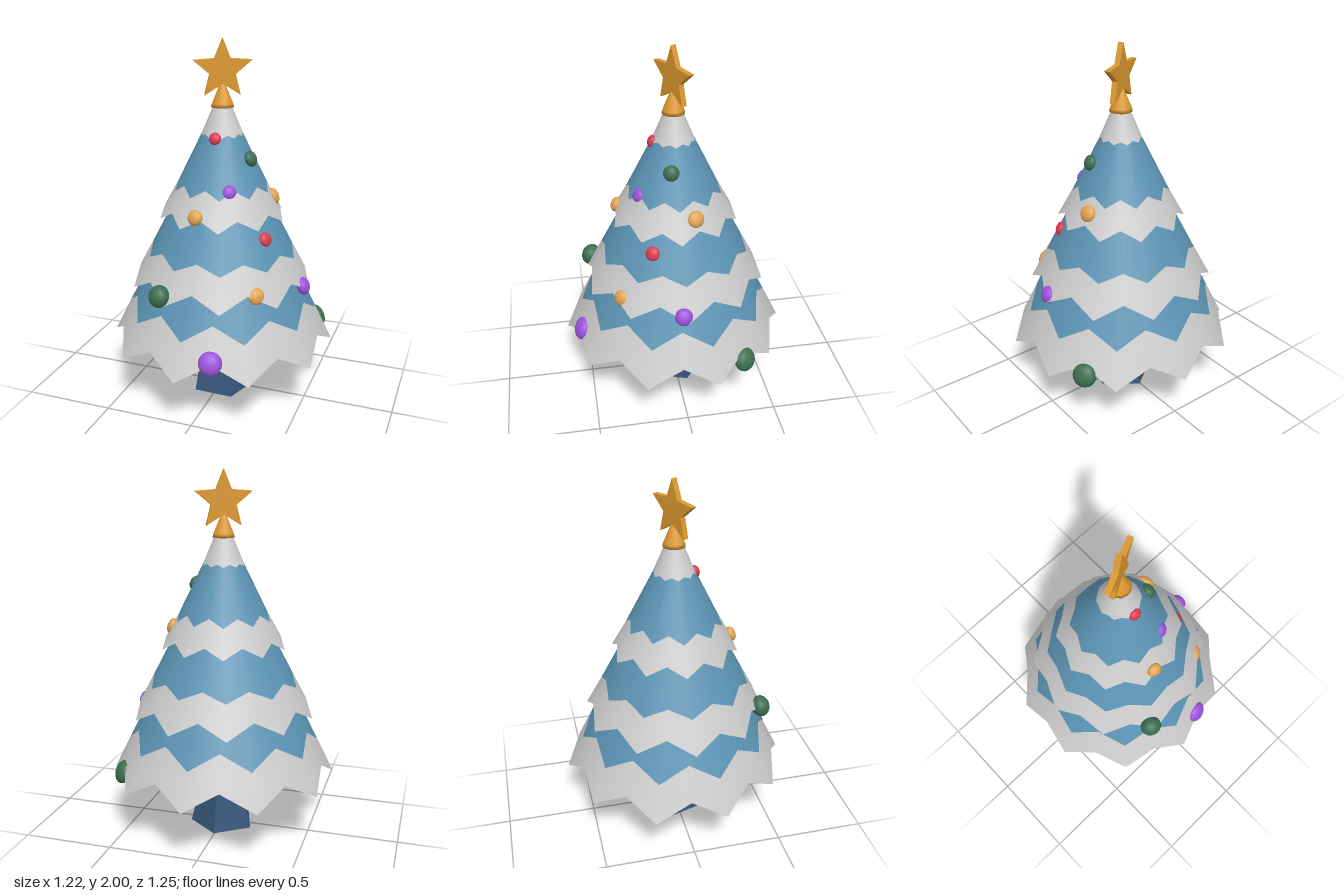
import * as THREE from 'three';

const mat = (name, color, extra = {}) => {
  const m = new THREE.MeshStandardMaterial({ color, ...extra });
  m.name = name;
  return m;
};

// Cone skirt with a zigzag hem; each row is [tip y, tip radius, valley y, valley radius], bottom to top
function skirtGeometry(rows, phaseDeg, bandMaterials) {
  const cols = 20;
  const pos = [], index = [];
  const geo = new THREE.BufferGeometry();
  for (const [yTip, rTip, yValley, rValley] of rows) {
    for (let i = 0; i < cols; i++) {
      const a = THREE.MathUtils.degToRad(phaseDeg) + (i / cols) * Math.PI * 2;
      const tip = i % 2 === 0;
      const r = tip ? rTip : rValley;
      pos.push(r * Math.sin(a), tip ? yTip : yValley, r * Math.cos(a));
    }
  }
  for (let j = 0; j < rows.length - 1; j++) {
    geo.addGroup(index.length, cols * 6, bandMaterials[j]);
    for (let i = 0; i < cols; i++) {
      const a = j * cols + i, b = j * cols + (i + 1) % cols;
      index.push(a, b, b + cols, a, b + cols, a + cols);
    }
  }
  geo.setAttribute('position', new THREE.Float32BufferAttribute(pos, 3));
  geo.setIndex(index);
  geo.computeVertexNormals();
  return geo;
}

export function createModel() {
  const tree = new THREE.Group();
  tree.name = 'decoratedTree';

  const white = mat('snowWhite', 0xcbcbcb, { side: THREE.DoubleSide });
  const blue = mat('needleBlue', 0x5b93b3, { side: THREE.DoubleSide });
  const navy = mat('trunkNavy', 0x365578, { flatShading: true });
  const gold = mat('starGold', 0xdd982f);
  const red = mat('ornamentRed', 0xd93c50);
  const green = mat('ornamentGreen', 0x3c6e50);
  const purple = mat('ornamentPurple', 0x9c52dc);
  const amber = mat('ornamentAmber', 0xe2a452);

  const add = (name, geometry, material, parent = tree) => {
    const mesh = new THREE.Mesh(geometry, material);
    mesh.name = name;
    parent.add(mesh);
    return mesh;
  };

  // Five-sided flared trunk
  const trunk = [[0, 0], [0.187, 0], [0.09, 0.37], [0.07, 0.85], [0, 0.85]]
    .map(([r, y]) => new THREE.Vector2(r, y));
  add('trunk', new THREE.LatheGeometry(trunk, 5, Math.PI - 0.02), navy);

  // Three skirts: white hem band below, blue above; the top one has a white cap
  add('lowerSkirt', skirtGeometry([
    [0.32, 0.627, 0.42, 0.572],
    [0.51, 0.533, 0.6, 0.485],
    [0.92, 0.33, 0.92, 0.33],
  ], -4, [0, 1]), [white, blue]);
  add('middleSkirt', skirtGeometry([
    [0.67, 0.507, 0.748, 0.463],
    [0.84, 0.414, 0.892, 0.386],
    [1.3, 0.175, 1.3, 0.175],
  ], 18, [0, 1]), [white, blue]);
  add('upperSkirt', skirtGeometry([
    [1.05, 0.348, 1.105, 0.315],
    [1.2, 0.263, 1.245, 0.238],
    [1.495, 0.115, 1.51, 0.108],
    [1.66, 0.045, 1.66, 0.045],
  ], 16, [0, 1, 0]), [white, blue]);

  // Star topper on a small cone collar
  const topper = new THREE.Group();
  topper.name = 'topper';
  tree.add(topper);
  const collar = [[0, 1.645], [0.062, 1.645], [0.056, 1.665], [0.012, 1.77], [0, 1.77]]
    .map(([r, y]) => new THREE.Vector2(r, y));
  add('collar', new THREE.LatheGeometry(collar, 12), gold, topper);
  const starShape = new THREE.Shape();
  for (let i = 0; i < 10; i++) {
    const r = i % 2 ? 0.072 : 0.162;
    const a = Math.PI / 2 + (i * Math.PI) / 5;
    starShape[i ? 'lineTo' : 'moveTo'](r * Math.cos(a), r * Math.sin(a));
  }
  starShape.closePath();
  const starGeo = new THREE.ExtrudeGeometry(starShape, { depth: 0.03, bevelEnabled: false });
  starGeo.translate(0, 0, -0.015);
  const star = add('star', starGeo, gold, topper);
  star.position.y = 1.838;
  star.rotation.y = 0.45;

  // Slightly flattened ornaments pressed against the slope: [material, x, y, z, radius, depth ratio]
  const ornaments = [
    [red, 0, 1.495, 0.115, 0.033, 0.65],
    [green, 0.172, 1.385, 0.04, 0.042, 0.7],
    [purple, 0.112, 1.24, 0.205, 0.037, 0.6],
    [amber, 0.272, 1.16, -0.073, 0.045, 0.6],
    [amber, -0.038, 1.117, 0.31, 0.041, 0.7],
    [red, 0.297, 0.99, 0.16, 0.038, 0.6],
    [green, -0.187, 0.715, 0.457, 0.06, 0.85],
    [amber, 0.305, 0.737, 0.33, 0.045, 0.6],
    [purple, 0.477, 0.698, 0.025, 0.048, 0.7],
    [purple, 0.13, 0.425, 0.545, 0.063, 0.62],
    [green, 0.485, 0.37, -0.315, 0.066, 0.65],
  ];
  const ball = new THREE.SphereGeometry(1, 16, 12);
  const forward = new THREE.Vector3(0, 0, 1);
  for (const [material, x, y, z, r, depth] of ornaments) {
    const o = add('ornament', ball, material);
    o.position.set(x, y, z);
    o.scale.set(r, r, r * depth);
    const slope = new THREE.Vector3(x, 0.4 * Math.hypot(x, z), z).normalize();
    o.quaternion.setFromUnitVectors(forward, slope);
  }

  return tree;
}
